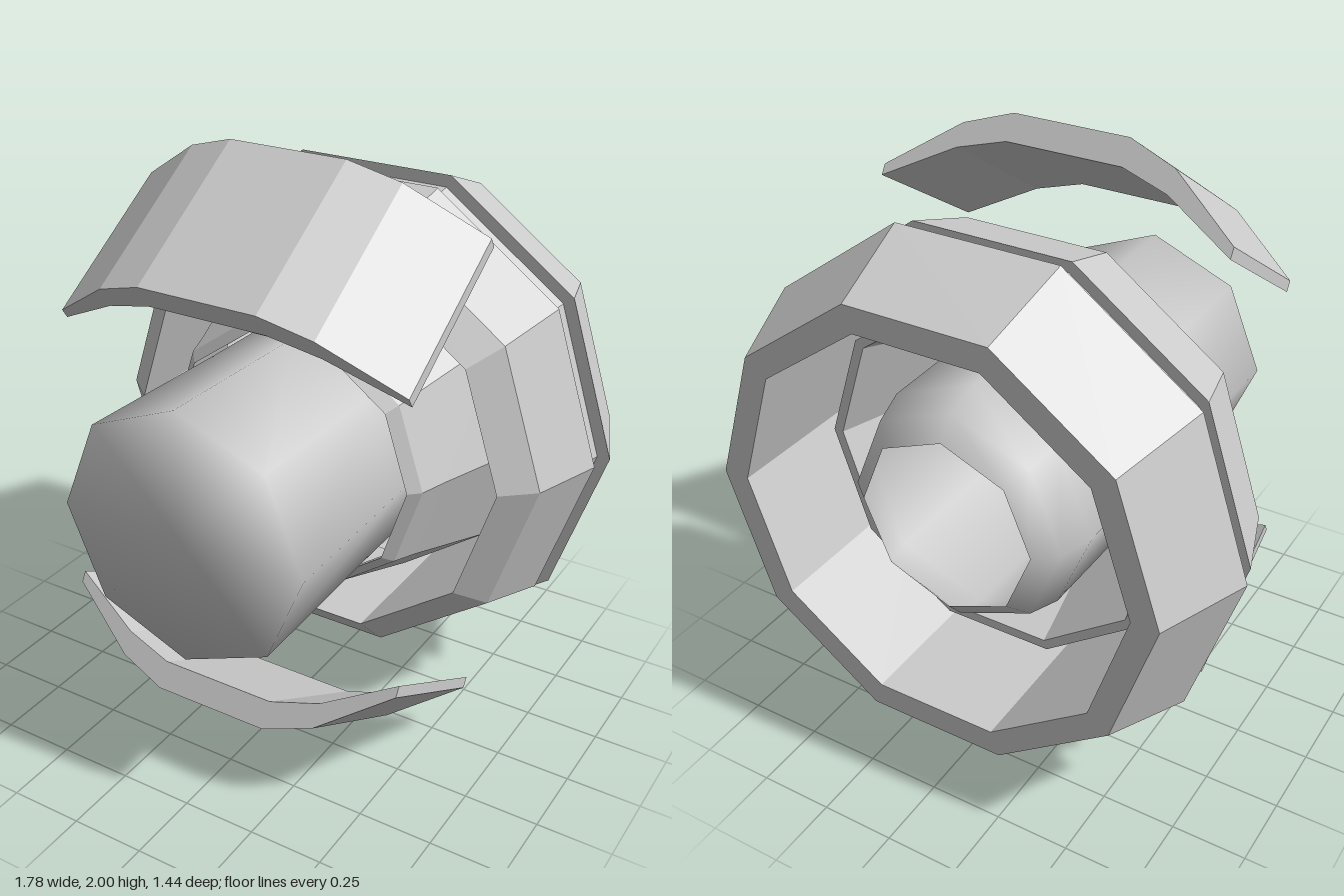
import * as THREE from 'three';

const CENTRE_Y = 0.98;

// Revolves [radius, z] points around the z axis.
function ring(name, points, sides, phase, flat) {
  const geo = new THREE.LatheGeometry(points.map(([r, z]) => new THREE.Vector2(r, z)), sides, phase);
  geo.rotateX(Math.PI / 2);
  const mesh = new THREE.Mesh(geo, new THREE.MeshStandardMaterial({
    color: 0xcccccc, flatShading: flat, side: THREE.DoubleSide,
  }));
  mesh.name = name;
  mesh.position.y = CENTRE_Y;
  return mesh;
}

// Curved, faceted lid plate: thick in the middle, thin at both ends.
function lid(name, y, z, tilt, flip) {
  const half = [[0.2, 0], [0.365, -0.06], [0.605, -0.24], [0.605, -0.277], [0.365, -0.14], [0.2, -0.09]];
  const mirrored = half.map(([px, py]) => [-px, py]).reverse();
  const shape = new THREE.Shape([...half, ...mirrored].map(([px, py]) => new THREE.Vector2(px, py)));
  const geo = new THREE.ExtrudeGeometry(shape, { depth: 0.571, bevelEnabled: false });
  const mesh = new THREE.Mesh(geo, new THREE.MeshStandardMaterial({ color: 0xcccccc, flatShading: true }));
  mesh.name = name;
  mesh.position.set(0, y, z);
  mesh.rotation.set(tilt, 0, flip ? Math.PI : 0);
  return mesh;
}

export function createModel() {
  const group = new THREE.Group();
  group.name = 'eyeAssembly';

  // Ten-sided outer housing with a groove around it and a straight bore
  group.add(ring('outerHousing', [
    [0.68, -0.72], [0.77, -0.72], [0.89, -0.41], [0.847, -0.41], [0.83, -0.335],
    [0.867, -0.335], [0.785, -0.09], [0.68, 0], [0.68, -0.72],
  ], 10, Math.PI / 2, true));

  // Thin conical collar around the barrel
  group.add(ring('innerCollar', [
    [0.59, -0.35], [0.625, -0.35], [0.505, 0], [0.475, 0.1], [0.438, 0.135], [0.445, 0.09], [0.59, -0.35],
  ], 10, Math.PI / 2, true));

  // Smooth eight-sided barrel, closed in front and open at the back
  group.add(ring('barrel', [
    [0.3, -0.62], [0.37, -0.56], [0.405, -0.44], [0.412, 0.13], [0.425, 0.72], [0, 0.72],
  ], 8, 0, false));

  // Lids above and below the barrel
  group.add(lid('upperLid', 2.0, 0.12, THREE.MathUtils.degToRad(33), false));
  group.add(lid('lowerLid', 0.005, 0.11, THREE.MathUtils.degToRad(-30), true));
  return group;
}
